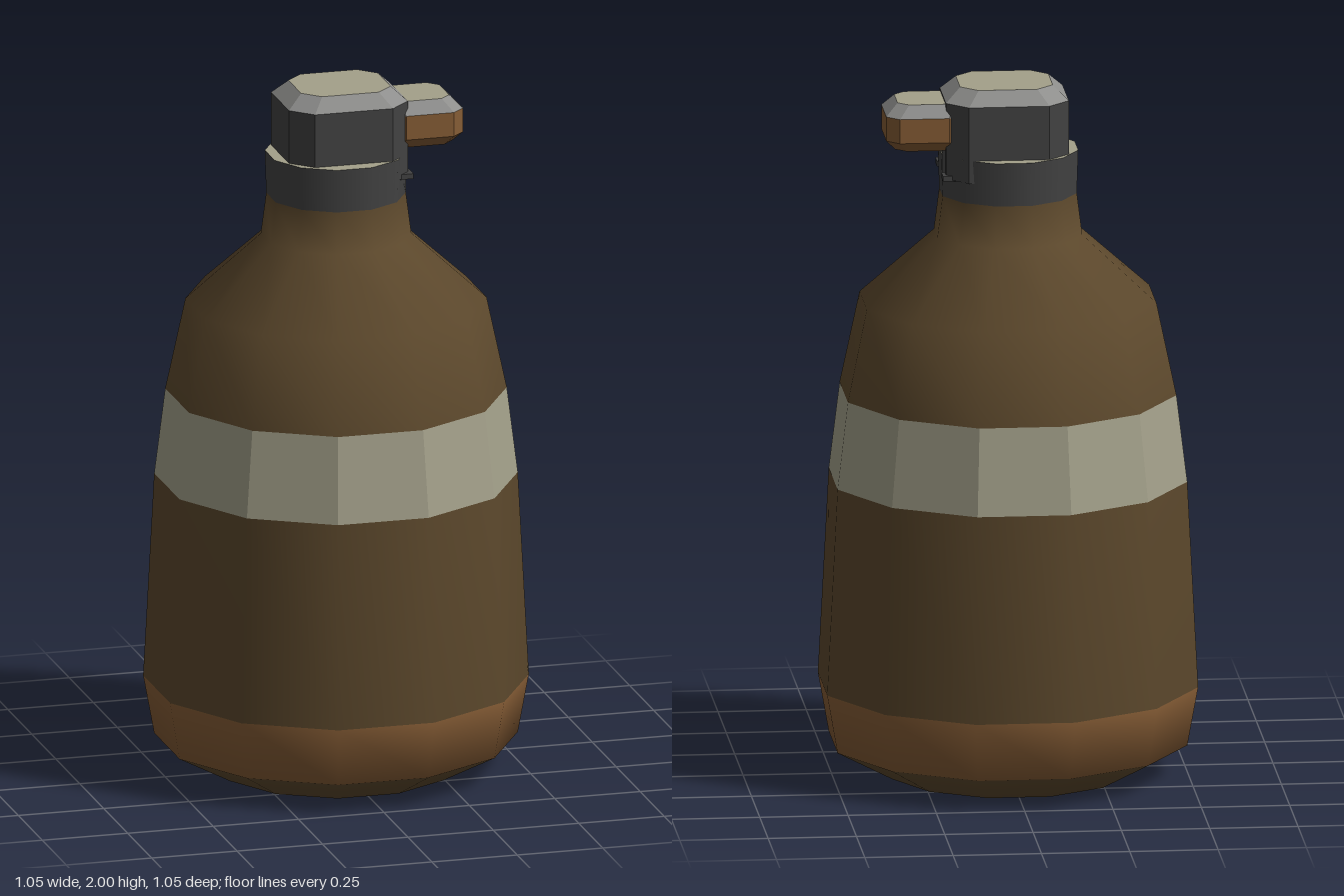
import * as THREE from 'three';

const SIDES = 12, PHI = Math.PI / 12;
const material = (name, color) => {
  const m = new THREE.MeshStandardMaterial({ color });
  m.name = name;
  return m;
};

// Chamfered rectangle ring, counterclockwise seen from above
const ring = (y, x0, x1, z0, z1, c) => [
  [x1, z1 - c], [x1, z0 + c], [x1 - c, z0], [x0 + c, z0],
  [x0, z0 + c], [x0, z1 - c], [x0 + c, z1], [x1 - c, z1],
].map(([x, z]) => new THREE.Vector3(x, y, z));

function facets(points) {
  const g = new THREE.BufferGeometry().setFromPoints(points);
  g.computeVertexNormals();
  return g;
}

// Flat-sided wall between two rings
function wall(a, b) {
  const pts = [];
  a.forEach((p, i) => {
    const j = (i + 1) % a.length;
    pts.push(p, a[j], b[j], p, b[j], b[i]);
  });
  return facets(pts);
}

// Flat lid on a ring, facing up or down
function lid(r, down = false) {
  const pts = [];
  for (let i = 1; i < r.length - 1; i++) {
    pts.push(...(down ? [r[0], r[i + 1], r[i]] : [r[0], r[i], r[i + 1]]));
  }
  return facets(pts);
}

// Twelve-sided turned part; profile is given by flat-side half-widths
function turned(profile) {
  const pts = profile.map(([w, y]) => new THREE.Vector2(w / Math.cos(PHI), y));
  return new THREE.LatheGeometry(pts, SIDES, PHI, Math.PI * 2);
}

function disc(w, y, down) {
  const g = new THREE.CircleGeometry(w / Math.cos(PHI), SIDES, PHI);
  g.rotateX(down ? Math.PI / 2 : -Math.PI / 2);
  return g.translate(0, y, 0);
}

export function createModel() {
  const brown = material('dark brown', 0x5c482c);
  const copper = material('copper brown', 0x855c35);
  const tan = material('pale tan', 0xa3a08a);
  const dark = material('charcoal', 0x424242);
  const grey = material('edge grey', 0x8e8e8c);

  const model = new THREE.Group();
  model.name = 'bottle';
  const add = (name, geometry, mat, parent = model) => {
    const mesh = new THREE.Mesh(geometry, mat);
    mesh.name = name;
    parent.add(mesh);
    return mesh;
  };

  // Lower body, with the copper ring as its middle row
  const lower = turned([[0.335, 0], [0.495, 0.09], [0.525, 0.26], [0.495, 0.855]]);
  const rowMaterial = [0, 1, 0];
  for (let i = 0; i < SIDES; i++) {
    rowMaterial.forEach((m, j) => lower.addGroup((i * 3 + j) * 6, 6, m));
  }
  add('lowerBody', lower, [brown, copper]);
  add('base', disc(0.335, 0, true), dark);

  // Faceted label band
  const band = turned([[0.495, 0.855], [0.465, 1.105]]).toNonIndexed();
  band.computeVertexNormals();
  add('labelBand', band, tan);

  // Shoulder and neck
  add('shoulder', turned([[0.465, 1.105], [0.41, 1.37], [0.205, 1.56], [0.19, 1.68]]), brown);
  add('collar', turned([[0.19, 1.68], [0.194, 1.805]]), dark);
  add('collarTop', disc(0.194, 1.805, false), tan);

  // Cap
  const cap = new THREE.Group();
  cap.name = 'cap';
  model.add(cap);
  const capEdge = ring(1.96, -0.163, 0.185, -0.158, 0.15, 0.06);
  const capTop = ring(2, -0.12, 0.142, -0.117, 0.112, 0.048);
  add('capSides', wall(ring(1.74, -0.163, 0.185, -0.158, 0.15, 0.06), capEdge), dark, cap);
  add('capBevel', wall(capEdge, capTop), grey, cap);
  add('capTop', lid(capTop), tan, cap);

  // Bracket and lugs under the lever
  add('bracket', new THREE.BoxGeometry(0.05, 0.11, 0.14).translate(0.166, 1.795, 0), dark, cap);
  for (const side of [-1, 1]) {
    add('lug', new THREE.BoxGeometry(0.04, 0.015, 0.05).translate(0.175, 1.745, side * 0.09), dark, cap);
  }

  // Lever sticking out of the cap
  const lever = new THREE.Group();
  lever.name = 'lever';
  model.add(lever);
  const bottom = ring(1.82, 0.14, 0.325, -0.085, 0.078, 0.03);
  const low = ring(1.85, 0.14, 0.352, -0.115, 0.106, 0.036);
  const high = ring(1.92, 0.14, 0.352, -0.115, 0.106, 0.036);
  const top = ring(1.955, 0.14, 0.318, -0.086, 0.076, 0.03);
  add('leverUnderside', lid(bottom, true), dark, lever);
  add('leverLowerBevel', wall(bottom, low), copper, lever);
  add('leverSides', wall(low, high), copper, lever);
  add('leverBevel', wall(high, top), grey, lever);
  add('leverTop', lid(top), tan, lever);

  return model;
}
